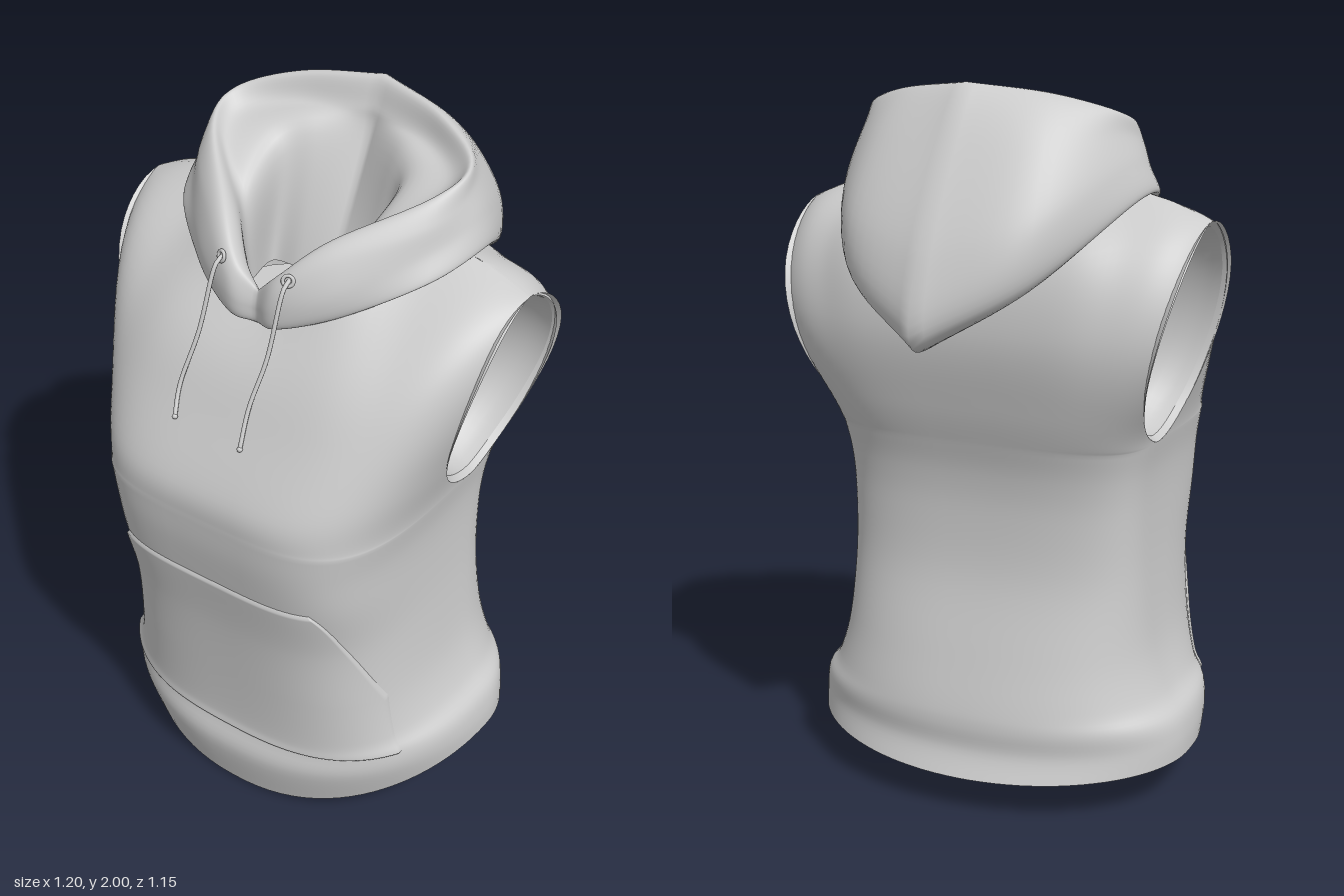
import * as THREE from 'three';
import { mergeGeometries, mergeVertices } from 'three/addons/utils/BufferGeometryUtils.js';

const V = (x, y, z) => new THREE.Vector3(x, y, z);
const { lerp, clamp } = THREE.MathUtils;
const curve = pts => new THREE.CatmullRomCurve3(pts.map(p => V(...p)), false, 'catmullrom', 0.5);
const material = new THREE.MeshStandardMaterial({ color: 0xcccccc, side: THREE.DoubleSide });

// Grid surface from a rule fn(u, v), u and v in 0..1
function grid(fn, nu, nv) {
  const pos = [], idx = [];
  for (let j = 0; j <= nv; j++)
    for (let i = 0; i <= nu; i++) pos.push(...fn(i / nu, j / nv).toArray());
  for (let j = 0; j < nv; j++)
    for (let i = 0; i < nu; i++) {
      const a = j * (nu + 1) + i, d = a + 1, b = a + nu + 1, c = b + 1;
      idx.push(a, b, d, b, c, d);
    }
  const g = new THREE.BufferGeometry();
  g.setAttribute('position', new THREE.Float32BufferAttribute(pos, 3));
  g.setIndex(idx);
  return g;
}
function part(name, ...geos) {
  const g = mergeVertices(mergeGeometries(geos), 1e-4);
  g.computeVertexNormals();
  const m = new THREE.Mesh(g, material);
  m.name = name;
  return m;
}

// Smooth interpolation through the rows of a small table
function sample(table, t) {
  const n = table.length - 1, i = Math.min(Math.floor(t), n - 1), f = t - i;
  const row = k => table[clamp(k, 0, n)];
  return table[i].map((p1, c) => {
    const p0 = row(i - 1)[c], p2 = row(i + 1)[c], p3 = row(i + 2)[c];
    const m1 = (p2 - p0) / 2, m2 = (p3 - p1) / 2;
    return p1 + f * (m1 + f * (3 * (p2 - p1) - 2 * m1 - m2 + f * (2 * (p1 - p2) + m1 + m2)));
  });
}

// Torso sections: side y, front y, back y, half width, front z, back z, front and back squareness
const SIDE_Z = -0.03;
const TORSO = [
  [0.14, 0.005, 0.11, 0.572, 0.485, -0.41, 2.2, 2],
  [0.20, 0.15, 0.18, 0.57, 0.515, -0.38, 2.4, 2.1],
  [0.26, 0.235, 0.25, 0.555, 0.495, -0.38, 2.7, 2.2],
  [0.32, 0.29, 0.31, 0.51, 0.49, -0.37, 3, 2.3],
  [0.45, 0.45, 0.45, 0.47, 0.50, -0.33, 3.3, 2.5],
  [0.65, 0.65, 0.65, 0.45, 0.52, -0.275, 3.5, 2.8],
  [0.83, 0.83, 0.83, 0.445, 0.55, -0.26, 4.1, 3.1],
  [0.95, 0.95, 0.95, 0.45, 0.568, -0.267, 4.1, 3.3],
  [1.04, 1.04, 1.04, 0.465, 0.574, -0.287, 4, 3.4],
];
// a runs from the left side over the front to the right side, then round the back
function torsoPoint(a, t) {
  const [ys, yf, yb, w, zf, zb, nf, nb] = sample(TORSO, t);
  const front = a <= Math.PI, n = front ? nf : nb;
  const c = Math.cos(a), s = Math.abs(Math.sin(a));
  return V(w * Math.sign(c) * Math.abs(c) ** (2 / n), lerp(ys, front ? yf : yb, s * s),
    lerp(SIDE_Z, front ? zf : zb, (s < 1e-9 ? 0 : s) ** (2 / n)));
}

// Armhole edge, t from underarm (0) to shoulder (1)
const ARM_X = [[0.465], [0.505], [0.55], [0.585], [0.6]];
function armEdge(t, front) {
  const h = (1 - Math.cos(Math.PI * t)) / 2;
  const out = Math.max(0, Math.sin(Math.PI * t));
  return V(sample(ARM_X, h * 4)[0], 1.04 + 0.61 * h,
    SIDE_Z + (front ? 0.235 * out : -0.25 * out ** 1.3));
}

// Chest and back panels: centre profile (y, z), squareness and shoulder-to-neck line
const PANELS = {
  front: {
    centre: [[1.04, 0.574], [1.13, 0.565], [1.28, 0.485], [1.41, 0.415], [1.53, 0.3]],
    square: [4, 2.4],
    top: curve([[0.6, 1.65, -0.03], [0.47, 1.7, -0.03], [0.33, 1.72, 0], [0.22, 1.63, 0.22], [0, 1.53, 0.3]]),
  },
  back: {
    centre: [[1.04, -0.287], [1.15, -0.317], [1.34, -0.355], [1.52, -0.335], [1.62, -0.24]],
    square: [3.4, 5],
    top: curve([[0.6, 1.65, -0.03], [0.47, 1.7, -0.03], [0.33, 1.72, -0.05], [0.2, 1.68, -0.2], [0, 1.62, -0.24]]),
  },
};
function panelPoint(a, t, front) {
  const { centre, square, top } = front ? PANELS.front : PANELS.back;
  const [cy, cz] = sample(centre, t * 4);
  const E = armEdge(t, front), n = lerp(...square, t);
  const q = (a % Math.PI) / (Math.PI / 2), k = clamp(q <= 1 ? q : 2 - q, 0, 1);
  // Each row is the part of the section that lies inside the armhole
  const a0 = Math.asin(((E.z - SIDE_Z) / (cz - SIDE_Z)) ** (n / 2));
  const ang = lerp(a0, Math.PI / 2, k);
  const p = V(E.x * (k === 1 ? 0 : Math.cos(ang) / Math.cos(a0)) ** (2 / n),
    lerp(E.y, cy, Math.sin(k * Math.PI / 2) ** 2),
    lerp(SIDE_Z, cz, Math.sin(ang) ** (2 / n)));
  p.lerp(top.getPoint(k), t ** 4);
  if (Math.cos(a) < 0) p.x *= -1;
  return p;
}

// Hood rings from bottom fold, over the rim, to the inner neck; each runs front to back
const RINGS = [
  [[0, 1.53, 0.31], [0.08, 1.545, 0.325], [0.23, 1.6, 0.25], [0.4, 1.69, 0.1], [0.43, 1.705, -0.12], [0.26, 1.51, -0.425], [0, 1.355, -0.56]],
  [[0, 1.57, 0.315], [0.08, 1.6, 0.335], [0.23, 1.67, 0.255], [0.39, 1.76, 0.06], [0.41, 1.79, -0.13], [0.27, 1.66, -0.42], [0, 1.57, -0.535]],
  [[0, 1.6, 0.31], [0.08, 1.66, 0.325], [0.2, 1.75, 0.24], [0.37, 1.82, 0.06], [0.385, 1.87, -0.11], [0.25, 1.86, -0.31], [0, 1.86, -0.375]],
  [[0, 1.62, 0.3], [0.07, 1.69, 0.3], [0.17, 1.78, 0.215], [0.35, 1.875, 0.03], [0.37, 1.925, -0.1], [0.22, 1.975, -0.2], [0, 2, -0.265]],
  [[0, 1.6, 0.285], [0.065, 1.67, 0.265], [0.155, 1.75, 0.18], [0.31, 1.84, 0.03], [0.325, 1.88, -0.08], [0.2, 1.91, -0.165], [0, 1.93, -0.215]],
  [[0, 1.57, 0.275], [0.07, 1.61, 0.24], [0.16, 1.67, 0.15], [0.185, 1.75, 0.08], [0.19, 1.82, -0.05], [0.12, 1.85, -0.12], [0, 1.83, -0.185]],
  [[0, 1.5, 0.25], [0.08, 1.5, 0.2], [0.15, 1.5, 0.14], [0.17, 1.5, 0.09], [0.18, 1.5, 0], [0.1, 1.5, -0.01], [0, 1.5, -0.02]],
];
// The first ring is repeated as a seam tucked into the body
const SEAM = RINGS[0].map(([x, y, z]) => [x * 0.88, y, Math.max(z * 0.85, -0.3)]);
const HOOD = [SEAM, ...RINGS].map(curve);
function hoodPoint(u, v) {
  const p = Math.abs(1 - 2 * u);
  const q = new THREE.CatmullRomCurve3(HOOD.map(r => r.getPoint(p)), false, 'catmullrom', 0.5).getPoint(v);
  if (p === 0 || p === 1) q.x = 0;
  else if (u > 0.5) q.x *= -1;
  return q;
}

// Front pocket lies on the torso, its edges flush with the cloth
function pocketPoint(u, v) {
  const t = lerp(2, 6, v);
  const [, , , , zf, , n] = sample(TORSO, t);
  const edgeZ = t < 4 ? 0.31 : lerp(0.31, 0.515, (t - 4) / 2);
  const a0 = Math.asin(((edgeZ - SIDE_Z) / (zf - SIDE_Z)) ** (n / 2));
  const p = torsoPoint(lerp(a0, Math.PI - a0, u), t);
  const rim = u === 0 || u === 1 || v === 0 || v === 1;
  const out = V(p.x * 1.2, 0, p.z - SIDE_Z).normalize();
  return p.addScaledVector(out, rim ? 0.001 : 0.008);
}

export function createModel() {
  const model = new THREE.Group();
  const TAU = Math.PI * 2;

  // Body shell with open armholes, neck and hem
  model.add(part('body',
    grid((u, v) => torsoPoint(u * TAU, v * 8), 96, 40),
    grid((u, v) => panelPoint(u * Math.PI, v, true), 48, 28),
    grid((u, v) => panelPoint(Math.PI + u * Math.PI, v, false), 48, 28)));

  // Folded inside edge of the hem
  model.add(part('hemFacing', grid((u, v) => {
    const p = torsoPoint(u * TAU, 0);
    return V(p.x * (1 - 0.02 * v), p.y + 0.015 * v, p.z * (1 - 0.02 * v));
  }, 96, 1)));

  model.add(part('pocket', grid(pocketPoint, 80, 80)));
  model.add(part('hood', grid(hoodPoint, 96, 56)));

  // Closed bottom of the neck opening
  const floor = new THREE.Mesh(new THREE.CircleGeometry(1, 32).rotateX(-Math.PI / 2), material);
  floor.scale.set(0.2, 1, 0.16);
  floor.position.set(0, 1.501, 0.11);
  floor.name = 'neckLining';
  model.add(floor);

  for (const side of [1, -1]) {
    const label = side > 0 ? 'left' : 'right';
    // Point on the armhole, shrunk towards its centre and pushed inwards
    const arm = (u, scale, depth) => {
      const t = u * 2, e = armEdge(t <= 1 ? t : 2 - t, t <= 1);
      return V(side * (lerp(0.55, e.x, scale) - depth), lerp(1.345, e.y, scale), lerp(-0.035, e.z, scale));
    };
    model.add(part(label + 'ArmholeTrim', grid((u, v) => arm(u, 1 - 0.05 * v, 0.02 * v), 48, 1)));
    model.add(part(label + 'ArmholeLining', grid((u, v) => {
      const r = Math.cos(v * Math.PI / 2);
      return arm(u, 0.95 * r, 0.02 + 0.2 * Math.sin(v * Math.PI / 2));
    }, 48, 12)));

    // Eyelet and drawstring
    const eyelet = new THREE.Mesh(new THREE.TorusGeometry(0.014, 0.005, 8, 16), material);
    eyelet.position.set(side * 0.105, 1.69, 0.312);
    eyelet.rotation.set(-0.3, side * 0.4, 0);
    eyelet.name = label + 'Eyelet';
    const path = side > 0
      ? [[0.105, 1.69, 0.305], [0.105, 1.66, 0.34], [0.095, 1.5, 0.39], [0.075, 1.37, 0.445], [0.08, 1.27, 0.495]]
      : [[-0.105, 1.69, 0.305], [-0.11, 1.66, 0.34], [-0.125, 1.5, 0.39], [-0.15, 1.36, 0.445], [-0.138, 1.28, 0.49]];
    const cord = new THREE.Mesh(new THREE.TubeGeometry(curve(path), 32, 0.006, 8), material);
    cord.name = label + 'Drawstring';
    const tip = new THREE.Mesh(new THREE.SphereGeometry(0.008, 10, 8), material);
    tip.position.set(...path[4]);
    tip.name = label + 'DrawstringTip';
    model.add(eyelet, cord, tip);
  }
  return model;
}
